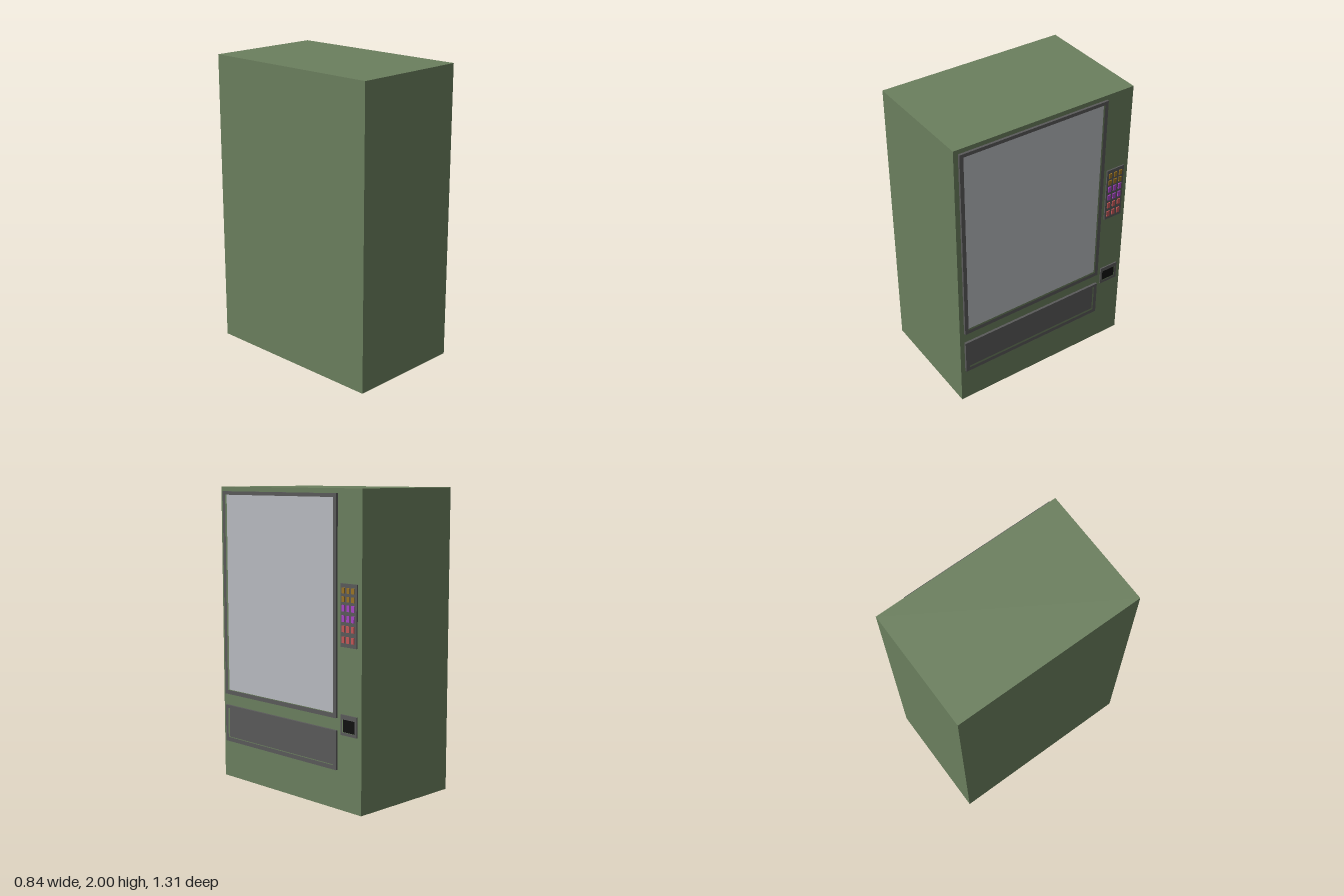
import * as THREE from 'three';

const FACE = 0.4; // x of the cabinet's service face

const mat = (color) => new THREE.MeshStandardMaterial({ color });
const green = mat(0x6b7f5e), grey = mat(0x5a5a5a), glass = mat(0xb8bbc0), black = mat(0x101010);
const gold = mat(0x9a7424), purple = mat(0xa845c4), red = mat(0xc25757);

// Box on the service face, spanning z0..z1 and y0..y1, standing out by depth
function panel(name, [z0, z1, y0, y1], depth, material) {
  const mesh = new THREE.Mesh(new THREE.BoxGeometry(depth, y1 - y0, z1 - z0), material);
  mesh.position.set(FACE + depth / 2, (y0 + y1) / 2, (z0 + z1) / 2);
  mesh.name = name;
  return mesh;
}

function rectangle(path, [z0, z1, y0, y1]) {
  path.moveTo(-z0, y0);
  path.lineTo(-z1, y0);
  path.lineTo(-z1, y1);
  path.lineTo(-z0, y1);
  path.closePath();
  return path;
}

// Rectangular rim with an opening, extruded outwards from the service face
function frame(name, outer, inner, depth, material) {
  const shape = rectangle(new THREE.Shape(), outer);
  shape.holes.push(rectangle(new THREE.Path(), inner));
  const geometry = new THREE.ExtrudeGeometry(shape, { depth, bevelEnabled: false });
  geometry.rotateY(Math.PI / 2);
  geometry.translate(FACE, 0, 0);
  const mesh = new THREE.Mesh(geometry, material);
  mesh.name = name;
  return mesh;
}

// Rim plus the recessed plate that fills its opening
function framedPanel(name, outer, inner, depth, plateDepth, plateMaterial) {
  const group = new THREE.Group();
  group.name = name;
  group.add(
    frame(name + 'Frame', outer, inner, depth, grey),
    panel(name + 'Plate', inner, plateDepth, plateMaterial)
  );
  return group;
}

export function createModel() {
  const model = new THREE.Group();
  model.name = 'vendingMachine';

  // Cabinet
  const cabinet = new THREE.Mesh(new THREE.BoxGeometry(0.82, 2, 1.31), green);
  cabinet.position.set(-0.01, 1, 0);
  cabinet.name = 'cabinet';
  model.add(cabinet);

  // Display window, collection flap and coin slot
  model.add(
    framedPanel('displayWindow', [-0.45, 0.623, 0.587, 1.97], [-0.425, 0.597, 0.615, 1.947], 0.016, 0.003, glass),
    framedPanel('collectionFlap', [-0.45, 0.623, 0.255, 0.508], [-0.425, 0.597, 0.283, 0.488], 0.016, 0.003, grey),
    framedPanel('coinSlot', [-0.62, -0.484, 0.487, 0.617], [-0.604, -0.498, 0.506, 0.588], 0.009, 0.002, black)
  );

  // Keypad: six rows of three buttons, two rows per colour
  const keypad = new THREE.Group();
  keypad.name = 'keypad';
  keypad.add(panel('keypadPlate', [-0.62, -0.484, 1.04, 1.43], 0.009, grey));
  const rows = [1.388, 1.335, 1.28, 1.216, 1.153, 1.086];
  rows.forEach((y, row) => {
    const material = [gold, purple, red][Math.floor(row / 2)];
    const half = row < 2 ? 0.017 : 0.02;
    for (const z of [-0.509, -0.55, -0.591]) {
      keypad.add(panel('button', [z - 0.011, z + 0.011, y - half, y + half], 0.016, material));
    }
  });
  model.add(keypad);

  return model;
}
